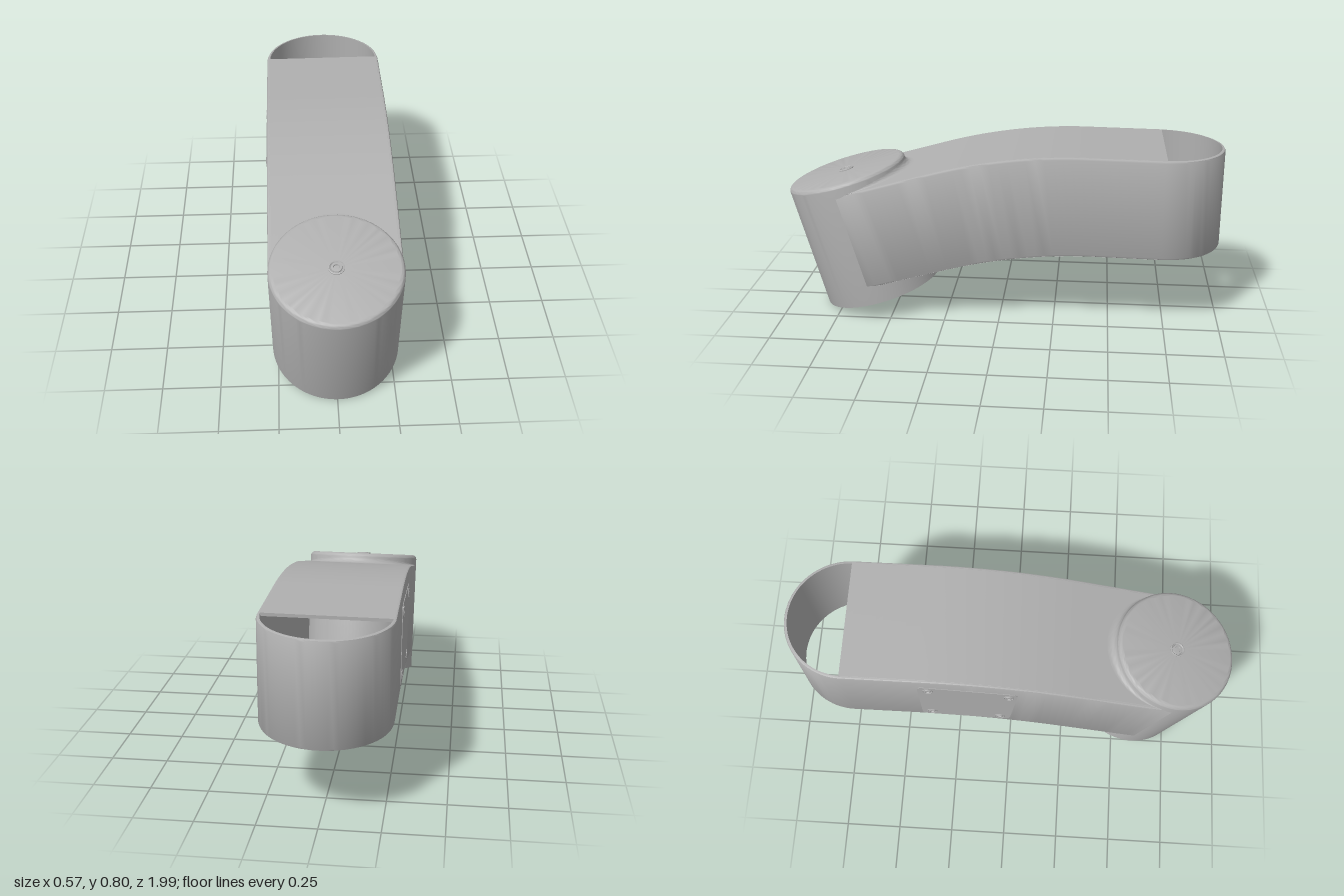
import * as THREE from 'three';
import { toCreasedNormals } from 'three/addons/utils/BufferGeometryUtils.js';

const R = 0.277, T = 0.014, BACK = -0.722, PLATE_END = -0.73;
const TILT = 0.276, CUP_Y = 0.076, CUP_Z = 0.575, CUP_H = 0.585;

// Height lost along the arm: nearly level at the back, an arc, then a straight slope
function drop(z, z0, k) {
  const d = z - z0, slope = Math.tan(TILT), D = slope / (2 * k);
  if (d < 0) return -0.015 * d;
  return d < D ? k * d * d : k * D * D + slope * (d - D);
}
const topY = z => 0.8 - drop(z, -0.35, 0.215);
const botY = z => 0.347 - drop(z, -0.4, 0.22);

// Skin closed loops of points into one surface
function loft(sections) {
  const n = sections[0].length, pos = sections.flat(2), idx = [];
  for (let i = 0; i < sections.length - 1; i++) {
    for (let j = 0; j < n; j++) {
      const a = i * n + j, b = i * n + (j + 1) % n;
      idx.push(a, b, b + n, a, b + n, a + n);
    }
  }
  const g = new THREE.BufferGeometry();
  g.setAttribute('position', new THREE.Float32BufferAttribute(pos, 3));
  g.setIndex(idx);
  return toCreasedNormals(g, 0.6);
}

// z where an arm surface meets the tilted cup's rear wall, at a given x
function meetZ(curve, x, radius) {
  const w = -Math.sqrt(Math.max(0, radius * radius - x * x));
  let lo = 0, hi = 1;
  for (let i = 0; i < 40; i++) {
    const z = (lo + hi) / 2;
    const d = (z - CUP_Z) * Math.cos(TILT) - (curve(z) - CUP_Y) * Math.sin(TILT);
    if (d < w) lo = z; else hi = z;
  }
  return lo;
}

// U-shaped wall: one side, round the back, other side
function wallGeometry() {
  const r = 0.01, zt = meetZ(topY, R, R), zb = meetZ(botY, R, R), stations = [];
  const side = s => {
    const list = [];
    for (let i = 0; i <= 36; i++) {
      const f = i / 36;
      list.push({ x: s * R, nx: s, nz: 0, zt: zt + (BACK - zt) * f, zb: zb + (BACK - zb) * f });
    }
    return list;
  };
  stations.push(...side(1));
  for (let i = 1; i < 40; i++) {
    const a = Math.PI * i / 40, nx = Math.cos(a), nz = -Math.sin(a), z = BACK + R * nz;
    stations.push({ x: R * nx, nx, nz, zt: z, zb: z });
  }
  stations.push(...side(-1).reverse());
  const profile = [[0, 0, r], [0.3 * r, 0, 0.3 * r], [r, 0, 0], [T, 0, 0],
    [T, 1, 0], [r, 1, 0], [0.3 * r, 1, -0.3 * r], [0, 1, -r]];
  return loft(stations.map(s => profile.map(([inset, up, dy]) => {
    const z = up ? s.zt : s.zb;
    return [s.x - s.nx * inset, (up ? topY(z) : botY(z)) + dy, z - s.nz * inset];
  })));
}

// Curved plate across the arm, cut to the round of the cup
function plateGeometry(curve, lower, upper) {
  const sections = [], n = 36;
  for (let i = 0; i <= 40; i++) {
    const x = 0.269 * Math.cos(Math.PI * i / 40), z0 = meetZ(curve, x, 0.27);
    const line = [];
    for (let j = 0; j <= n; j++) line.push(z0 + (PLATE_END - z0) * j / n);
    sections.push([
      ...line.map(z => [x, curve(z) + upper, z]),
      ...line.reverse().map(z => [x, curve(z) + lower, z]),
    ]);
  }
  return loft(sections);
}

// Concave blend between the cup and an arm plate; dir is 1 on top, -1 below
function filletGeometry(curve, dir) {
  const sections = [];
  for (let i = 0; i <= 48; i++) {
    const a = Math.PI * i / 48, x = 0.274 * Math.cos(a), r = 0.004 + 0.032 * Math.sin(a);
    const z0 = meetZ(curve, x, R - 0.001), y0 = curve(z0);
    const A = [y0 + dir * r * Math.cos(TILT), z0 + dir * r * Math.sin(TILT)];
    const C = [curve(z0 - r), z0 - r];
    const loop = [];
    for (let j = 0; j <= 8; j++) {
      const t = j / 8, p = (1 - t) * (1 - t), q = 2 * t * (1 - t), s = t * t;
      loop.push([x, p * A[0] + q * y0 + s * C[0], p * A[1] + q * z0 + s * C[1]]);
    }
    loop.push([x, y0 - dir * 0.004, z0]);
    sections.push(loop);
  }
  return loft(dir > 0 ? sections : sections.reverse());
}

function lathe(points, segments) {
  return toCreasedNormals(new THREE.LatheGeometry(points.map(p => new THREE.Vector2(...p)), segments), 0.6);
}

// Hollow cup, open below, with a softened upper edge
function cupGeometry() {
  const pts = [[0, CUP_H - T], [R - T, CUP_H - T], [R - T, 0], [R, 0]], r = 0.022;
  for (let i = 0; i <= 8; i++) {
    const a = Math.PI / 2 * i / 8;
    pts.push([R - r + r * Math.cos(a), CUP_H - r + r * Math.sin(a)]);
  }
  pts.push([0, CUP_H]);
  return lathe(pts, 96);
}

// Screw with a collar, a groove and a socket
const screwGeometry = s => lathe([[1, -0.1], [1, 0.1], [0.85, 0.15], [0.75, 0.02], [0.7, 0.02],
  [0.65, 0.15], [0.4, 0.18], [0.35, 0.02], [0, 0.02]].map(p => [p[0] * s, p[1] * s]), 24);

// Side panel outline with rounded corners, in (z, y)
function panelGeometry() {
  const c = [[-0.4, 0.365], [0.0, 0.345], [0.04, 0.705], [-0.4, 0.74]].map(p => new THREE.Vector2(...p));
  const shape = new THREE.Shape();
  c.forEach((p, i) => {
    const toward = q => p.clone().add(q.clone().sub(p).setLength(0.03));
    const a = toward(c[(i + 3) % 4]), b = toward(c[(i + 1) % 4]);
    if (i) shape.lineTo(a.x, a.y); else shape.moveTo(a.x, a.y);
    shape.quadraticCurveTo(p.x, p.y, b.x, b.y);
  });
  shape.closePath();
  return new THREE.ExtrudeGeometry(shape, { depth: 0.021, bevelEnabled: false, curveSegments: 6 }).rotateY(-Math.PI / 2);
}

export function createModel() {
  const grey = new THREE.MeshStandardMaterial({ color: 0xb0b0b0, side: THREE.DoubleSide });
  grey.name = 'plainGrey';
  const model = new THREE.Group();
  model.name = 'curvedArm';
  const add = (name, geometry, parent = model) => {
    const m = new THREE.Mesh(geometry, grey);
    m.name = name;
    parent.add(m);
    return m;
  };

  // Arm shell
  add('armWall', wallGeometry());
  add('topPlate', plateGeometry(topY, -T, 0));
  add('bottomPlate', plateGeometry(botY, 0, T));
  add('topFillet', filletGeometry(topY, 1));
  add('bottomFillet', filletGeometry(botY, -1));

  // Tilted cup and its cap screw
  const cup = new THREE.Group();
  cup.name = 'cup';
  cup.position.set(0, CUP_Y, CUP_Z);
  cup.rotation.x = TILT;
  model.add(cup);
  add('cupShell', cupGeometry(), cup);
  add('capScrew', screwGeometry(0.034), cup).position.y = CUP_H;

  // Access panel with screws showing on both faces of the wall
  add('sidePanel', panelGeometry()).position.x = -0.2585;
  for (const [z, y] of [[-0.355, 0.697], [-0.002, 0.665], [-0.355, 0.407], [-0.045, 0.385]]) {
    for (const [x, turn] of [[-0.2795, 1], [-0.2585, -1]]) {
      const screw = add('panelScrew', screwGeometry(0.024));
      screw.position.set(x, y, z);
      screw.rotation.z = turn * Math.PI / 2;
    }
  }

  // Slight sideways lean
  model.rotation.z = 0.01;
  model.position.x = 0.004;
  const root = new THREE.Group();
  root.name = 'armAssembly';
  root.add(model);
  return root;
}
